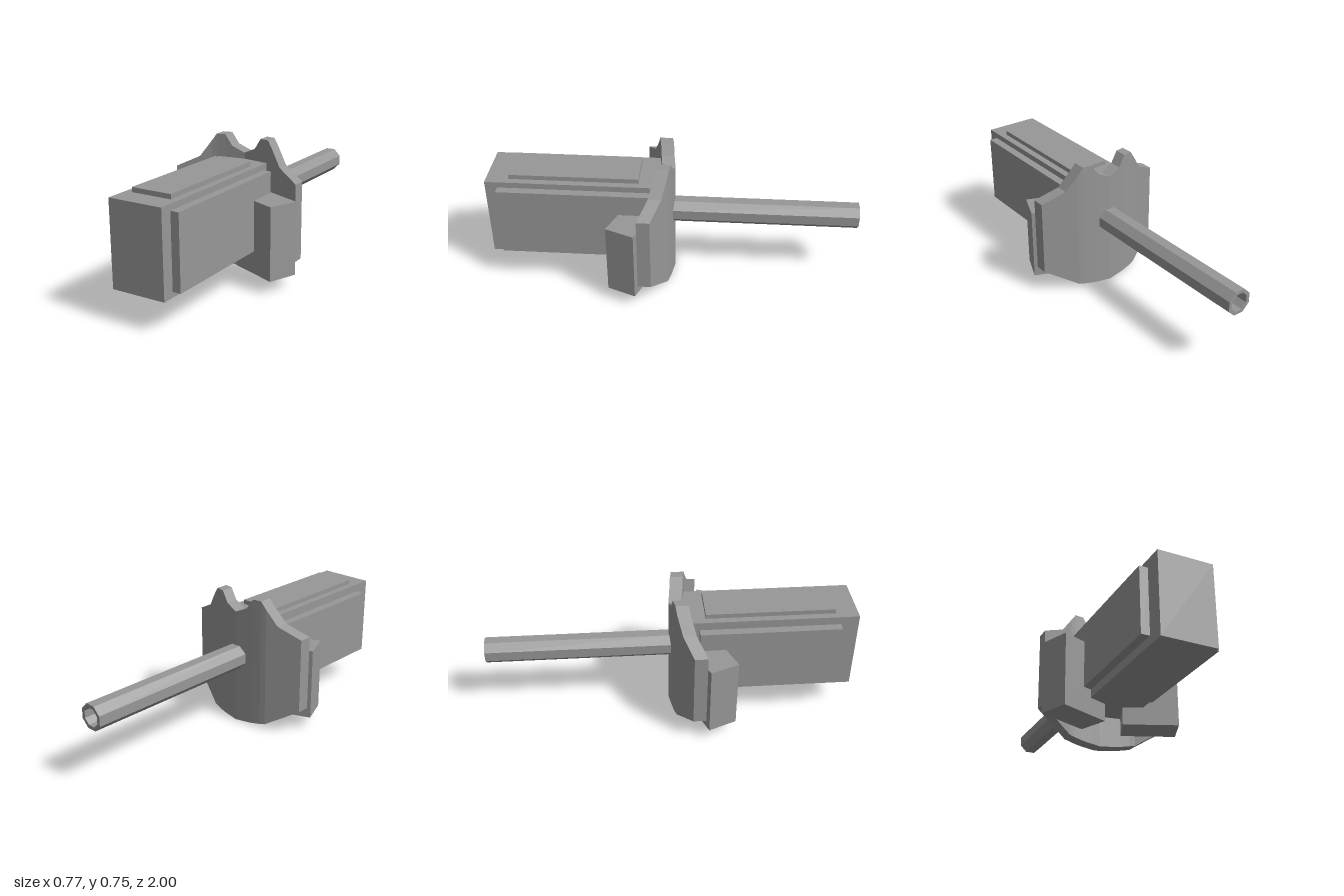
import * as THREE from 'three';

const material = new THREE.MeshStandardMaterial({ color: 0x979797, flatShading: true });

function addMesh(group, name, geometry) {
  const mesh = new THREE.Mesh(geometry, material);
  mesh.name = name;
  group.add(mesh);
  return mesh;
}

// Box given by its limits on each axis
function addBox(group, name, [x0, x1], [y0, y1], [z0, z1]) {
  const mesh = addMesh(group, name, new THREE.BoxGeometry(x1 - x0, y1 - y0, z1 - z0));
  mesh.position.set((x0 + x1) / 2, (y0 + y1) / 2, (z0 + z1) / 2);
}

// Bent shield plate, lofted across x from columns of [x, bottom, top, back z]
function shieldGeometry() {
  const half = [
    [0, 0, 0.654, -0.004],
    [0.07, 0.005, 0.685, 0.006],
    [0.11, 0.009, 0.745, 0.012],
    [0.16, 0.018, 0.745, 0.021],
    [0.19, 0.023, 0.702, 0.029],
    [0.25, 0.06, 0.616, 0.054],
    [0.372, 0.134, 0.556, 0.104],
  ];
  const thickness = 0.07;
  const mirrored = half.slice(1).reverse().map(([x, ...rest]) => [-x, ...rest]);
  const columns = [...mirrored, ...half].map(([x, bottom, top, z]) => ({
    ob: [x, bottom, z], ot: [x, top, z],
    ib: [x, bottom, z + thickness], it: [x, top, z + thickness],
  }));
  const positions = [];
  const quad = (a, b, c, d) => positions.push(...a, ...b, ...c, ...a, ...c, ...d);
  for (let i = 0; i < columns.length - 1; i++) {
    const p = columns[i], q = columns[i + 1];
    quad(p.ib, q.ib, q.it, p.it);
    quad(q.ob, p.ob, p.ot, q.ot);
    quad(p.it, q.it, q.ot, p.ot);
    quad(p.ob, q.ob, q.ib, p.ib);
  }
  const first = columns[0], last = columns[columns.length - 1];
  quad(first.ob, first.ib, first.it, first.ot);
  quad(last.ib, last.ob, last.ot, last.it);
  const geometry = new THREE.BufferGeometry();
  geometry.setAttribute('position', new THREE.Float32BufferAttribute(positions, 3));
  geometry.computeVertexNormals();
  return geometry;
}

// Hollow octagonal tube along z
function barrelGeometry(outer, inner, length) {
  const octagon = (r) => Array.from({ length: 8 }, (_, i) => {
    const a = (i + 0.5) * Math.PI / 4;
    return new THREE.Vector2(r * Math.cos(a), r * Math.sin(a));
  });
  const shape = new THREE.Shape(octagon(outer));
  shape.holes.push(new THREE.Path(octagon(inner)));
  return new THREE.ExtrudeGeometry(shape, { depth: length, bevelEnabled: false });
}

export function createModel() {
  const model = new THREE.Group();
  model.name = 'gunMount';

  addMesh(model, 'shield', shieldGeometry());

  const barrel = addMesh(model, 'barrel', barrelGeometry(0.071, 0.051, 1.02));
  barrel.position.set(0, 0.393, -1);

  // Housing with raised panels on the top and both sides
  addBox(model, 'housing', [-0.15, 0.15], [0.17, 0.621], [0.04, 1]);
  addBox(model, 'topPanel', [-0.112, 0.112], [0.6, 0.646], [0.185, 0.878]);
  addBox(model, 'rightPanel', [-0.196, -0.14], [0.215, 0.576], [0.15, 0.905]);
  addBox(model, 'leftPanel', [0.14, 0.195], [0.199, 0.589], [0.12, 0.935]);

  // Angled blocks behind the shield
  for (const side of [1, -1]) {
    const name = side > 0 ? 'leftBlock' : 'rightBlock';
    const block = addMesh(model, name, new THREE.BoxGeometry(0.293, 0.399, 0.164));
    block.position.set(side * 0.218, 0.273, 0.21);
    block.rotation.y = -side * 0.39;
  }

  return model;
}
